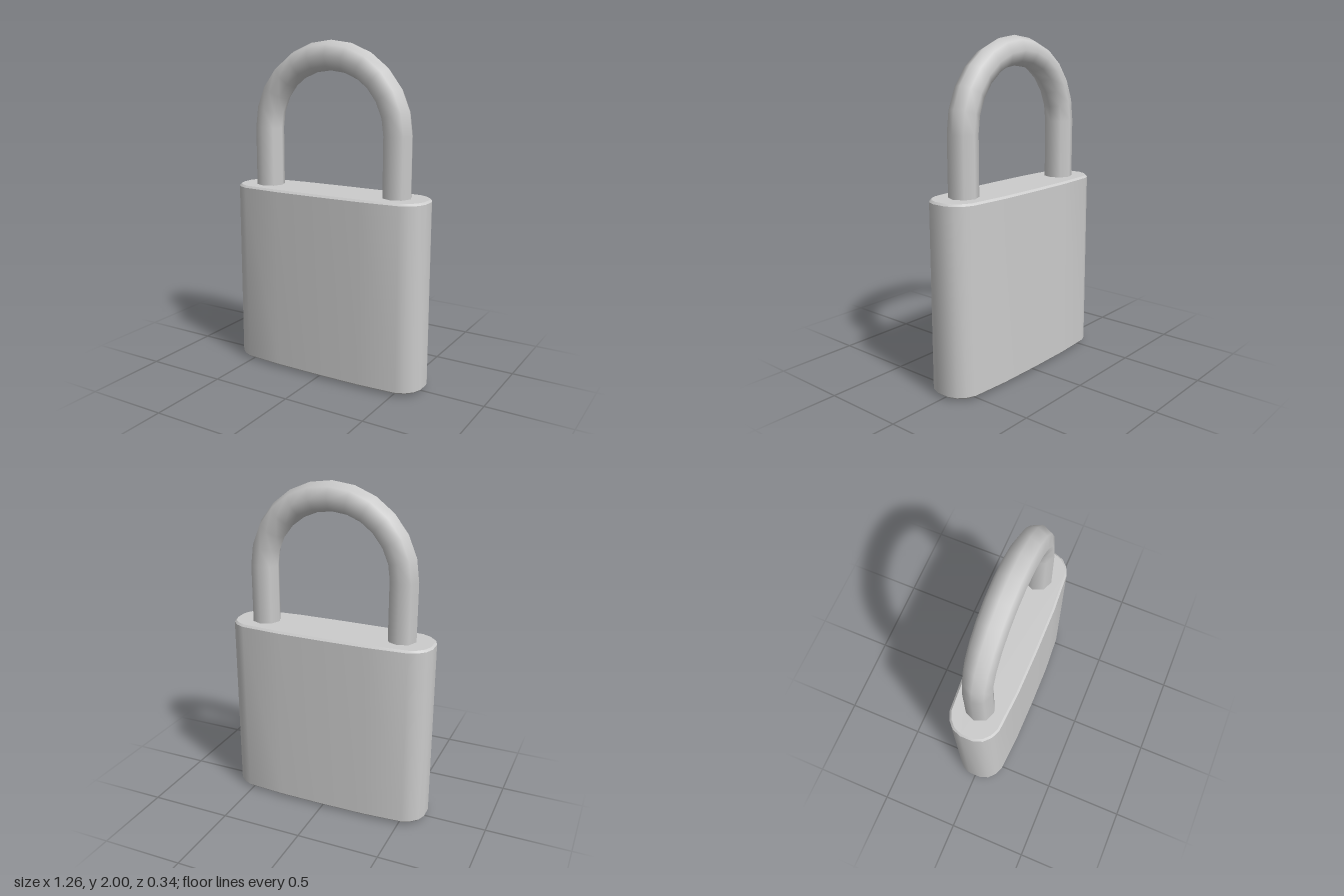
import * as THREE from 'three';
import { toCreasedNormals } from 'three/addons/utils/BufferGeometryUtils.js';

export function createModel() {
  const group = new THREE.Group();
  const material = new THREE.MeshStandardMaterial({ color: 0xcccccc });
  const add = (name, geometry, x = 0, y = 0) => {
    const mesh = new THREE.Mesh(geometry, material);
    mesh.name = name;
    mesh.position.set(x, y, 0);
    group.add(mesh);
  };

  // Body: slightly bulging plan outline, one quarter mirrored, extruded upward
  const quarter = [[0.63, 0.04], [0.61, 0.092], [0.57, 0.13], [0.52, 0.152], [0.28, 0.168]];
  const half = [...quarter, [0, 0.171], ...quarter.map(([x, z]) => [-x, z]).reverse()];
  const outline = [...half, ...half.map(([x, z]) => [-x, -z])];
  const bevel = 0.012, bottom = 0.012, top = 1.13;
  const body = new THREE.ExtrudeGeometry(
    new THREE.Shape(outline.map(([x, z]) => new THREE.Vector2(x, z))),
    {
      depth: top - bottom - 2 * bevel, bevelEnabled: true, bevelSegments: 1,
      bevelSize: bevel, bevelThickness: bevel, bevelOffset: -bevel,
    });
  body.rotateX(-Math.PI / 2);
  add('body', toCreasedNormals(body, 0.6), 0, bottom + bevel);

  // Shackle: half ring on two straight legs sunk into the body
  const radius = 0.435, thickness = 0.086, springY = 1.48, legBase = 1.1;
  add('shackleArch', new THREE.TorusGeometry(radius, thickness, 8, 12, Math.PI), 0, springY);
  for (const [name, side] of [['leftShackleLeg', 1], ['rightShackleLeg', -1]]) {
    add(name, new THREE.CylinderGeometry(thickness, thickness, springY - legBase, 8),
      side * radius, (springY + legBase) / 2);
  }

  // Lock cylinder face under the body
  add('lockCylinder', new THREE.CylinderGeometry(0.12, 0.12, 0.03, 8), 0, 0.015);

  return group;
}
